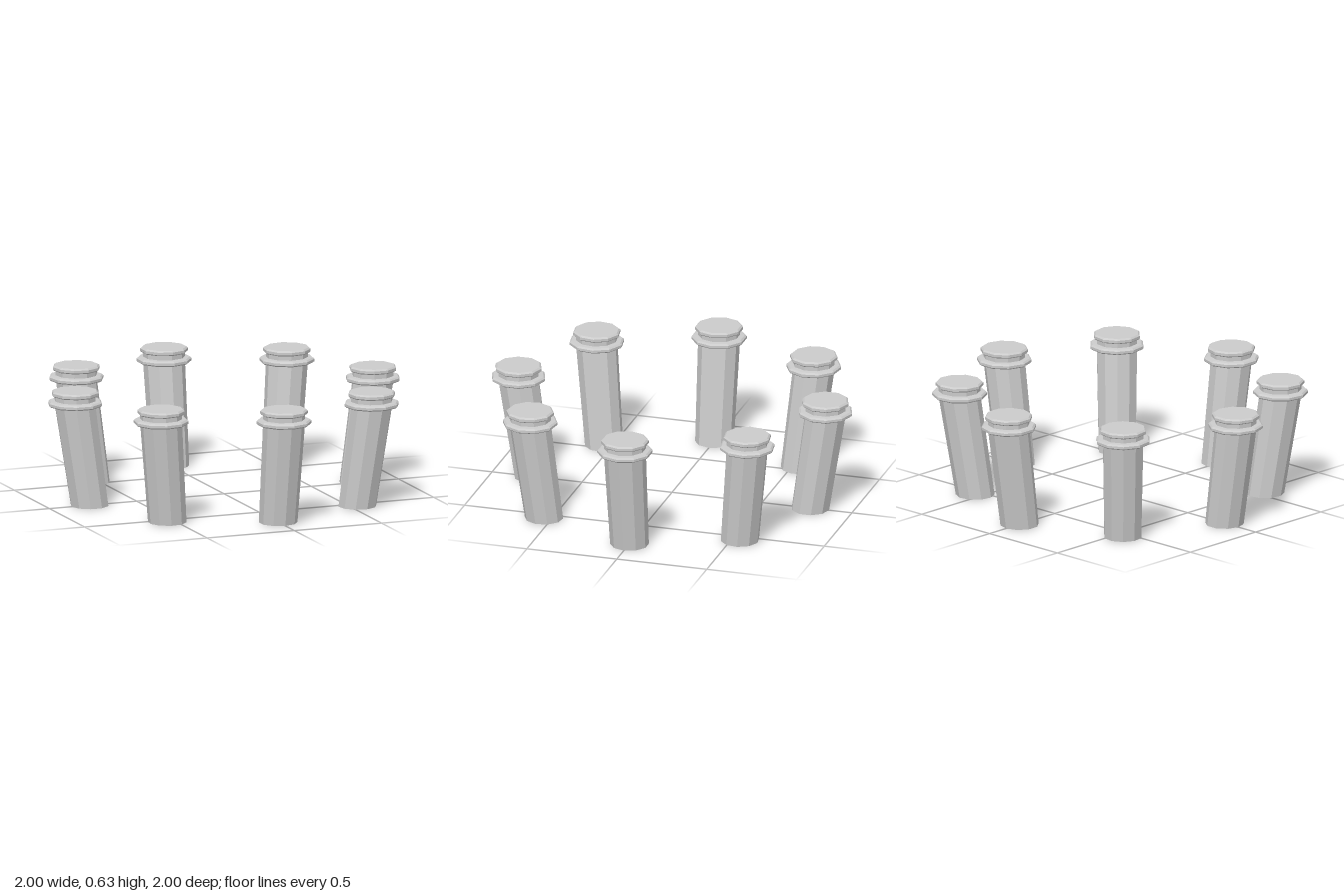
import * as THREE from 'three';

const SIDES = 10;
const COUNT = 8;
const BASE_RADIUS = 0.77; // ring radius at the feet
const TOP_RADIUS = 0.853; // ring radius at the collars
const LEAN_HEIGHT = 0.55; // the lean stops at the collar

// Turned profile whose sections slide outward (+z) with height
function leaningLathe(profile) {
  const points = profile.map(([r, y]) => new THREE.Vector2(r, y));
  const geometry = new THREE.LatheGeometry(points, SIDES);
  const pos = geometry.attributes.position;
  for (let i = 0; i < pos.count; i++) {
    const t = Math.min(pos.getY(i) / LEAN_HEIGHT, 1);
    pos.setZ(i, pos.getZ(i) + THREE.MathUtils.lerp(BASE_RADIUS, TOP_RADIUS, t));
  }
  geometry.computeVertexNormals();
  return geometry;
}

export function createModel() {
  const model = new THREE.Group();
  model.name = 'columnRing';
  const material = new THREE.MeshStandardMaterial({
    color: 0xcccccc, flatShading: true, side: THREE.DoubleSide,
  });

  const parts = {
    // open-bottomed shaft, slightly wider at the top
    shaft: leaningLathe([[0.103, 0], [0.112, 0.547]]),
    // projecting ring with bevelled edges
    collar: leaningLathe([[0.112, 0.547], [0.138, 0.547], [0.147, 0.554],
      [0.147, 0.567], [0.138, 0.575], [0.112, 0.577]]),
    // short neck below the cap
    neck: leaningLathe([[0.112, 0.577], [0.112, 0.602]]),
    // bevelled cap with a flat top
    cap: leaningLathe([[0.112, 0.602], [0.12, 0.602], [0.127, 0.608],
      [0.127, 0.622], [0.118, 0.63], [0, 0.63]]),
  };

  // Eight columns set evenly around the ring
  for (let i = 0; i < COUNT; i++) {
    const column = new THREE.Group();
    column.name = `column${i + 1}`;
    for (const [name, geometry] of Object.entries(parts)) {
      const mesh = new THREE.Mesh(geometry, material);
      mesh.name = name;
      column.add(mesh);
    }
    column.rotation.y = (i / COUNT) * Math.PI * 2;
    model.add(column);
  }
  return model;
}
